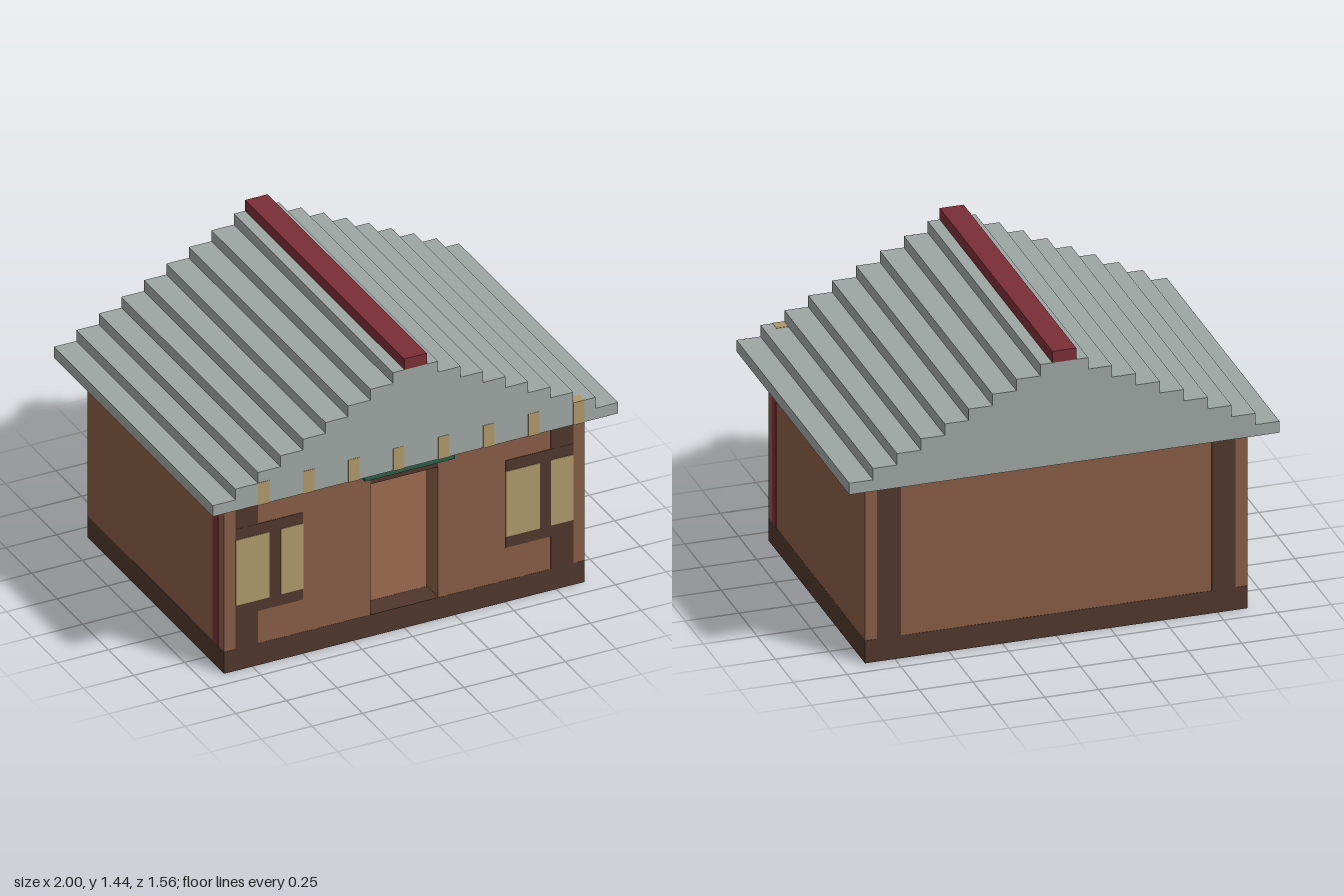
import * as THREE from 'three';

const U = 1 / 18; // one block
const E = 0.03; // flush inlays stand proud by this fraction of a block

const mat = (color) => new THREE.MeshStandardMaterial({ color, flatShading: true });
const mats = {
  brick: mat(0x885d46), timber: mat(0x50372c), pane: mat(0xad996a),
  slate: mat(0x9ea6a3), red: mat(0x7b2e36), green: mat(0x2d5e49),
};

export function createModel() {
  const house = new THREE.Group();
  house.name = 'house';

  const add = (name, geometry, m) => {
    const mesh = new THREE.Mesh(geometry.scale(U, U, U), mats[m]);
    mesh.name = name;
    house.add(mesh);
  };
  // box between two corners, in blocks
  const box = (name, m, x0, x1, y0, y1, z0, z1) => add(name,
    new THREE.BoxGeometry(x1 - x0, y1 - y0, z1 - z0)
      .translate((x0 + x1) / 2, (y0 + y1) / 2, (z0 + z1) / 2), m);

  // plinth and hollow room
  box('plinth', 'timber', -16, 16, 0, 1.99, -12, 12);
  box('floor', 'brick', -14, 14, 1.5, 2, -10, 10);
  box('backWall', 'brick', -16, 16, 2, 16, -12, -10);
  for (const s of [-1, 1]) {
    box('sideWall', 'brick', s * 15 - 1, s * 15 + 1, 2, 16, -10, 10);
    box('sideStripe', 'red', s * 15.9 - 0.1 - E, s * 15.9 + 0.1 + E, 2, 16, 10, 11);
  }

  // front wall with the doorway cut out
  const front = new THREE.Shape([
    [-16, 2], [-3, 2], [-3, 14], [3, 14], [3, 2], [16, 2], [16, 16], [-16, 16],
  ].map(([x, y]) => new THREE.Vector2(x, y)));
  add('frontWall', new THREE.ExtrudeGeometry(front, { depth: 2, bevelEnabled: false })
    .translate(0, 0, 10), 'brick');
  box('doorLintel', 'timber', -3, 3, 14, 15, 11, 12 + E);
  box('doorAwning', 'green', -4, 4, 15, 16, 12, 13);

  // posts and windows
  for (const s of [-1, 1]) {
    box('frontPost', 'timber', s * 14 - 1, s * 14 + 1, 2, 16, 11, 12 + E);
    box('backPost', 'timber', s * 14 - 1, s * 14 + 1, 2, 16, -12 - E, -11);
    box('windowFrame', 'timber', s * 12 - 3, s * 12 + 3, 5, 13, 11, 12 + E * 1.5);
  }
  for (const x of [-15, 9]) {
    box('widePane', 'pane', x, x + 3, 6, 12, 11, 12 + E * 2.5);
    box('narrowPane', 'pane', x + 4, x + 6, 6, 12, 11, 12 + E * 2.5);
  }

  // stepped gable roof: nine courses, each two blocks narrower per side
  const right = [];
  for (let i = 0; i < 9; i++) {
    right.push(new THREE.Vector2(18 - 2 * i, 16 + i), new THREE.Vector2(18 - 2 * i, 17 + i));
  }
  const left = right.map((p) => new THREE.Vector2(-p.x, p.y)).reverse();
  add('roof', new THREE.ExtrudeGeometry(new THREE.Shape([...right, ...left]),
    { depth: 28, bevelEnabled: false }).translate(0, 0, -14), 'slate');
  box('ridge', 'red', -1, 1, 25, 26, -14, 14);

  // rafter ends along the front eave
  for (let x = -14; x <= 14; x += 4) {
    box('rafterEnd', 'pane', x, x + 1, 16 - E, 18 + E, 13, 14 + E);
  }
  return house;
}
